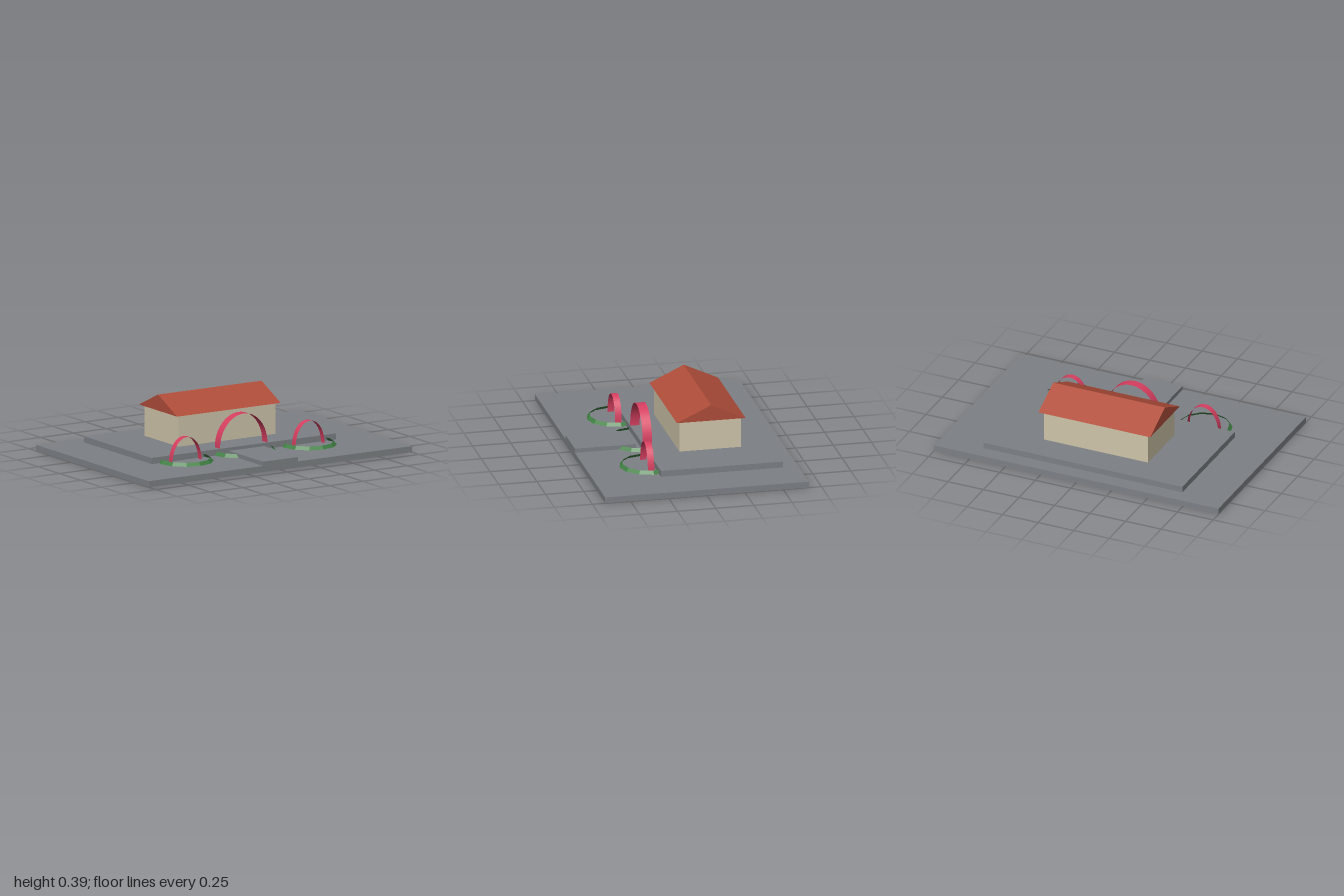
import * as THREE from 'three';

const material = (name, color, options = {}) => {
  const m = new THREE.MeshStandardMaterial({ color, ...options });
  m.name = name;
  return m;
};

export function createModel() {
  const model = new THREE.Group();
  model.name = 'houseWithGarden';

  const stone = material('stone grey', 0x7d8186);
  const plaster = material('plaster beige', 0xcfc5aa);
  const tile = material('roof red', 0xb04d3a);
  const rose = material('rose pink', 0xd63f60, { side: THREE.DoubleSide });
  const hedge = material('hedge green', 0x3f7f42, { side: THREE.DoubleSide, flatShading: true });

  const add = (name, geometry, mat) => {
    const mesh = new THREE.Mesh(geometry, mat);
    mesh.name = name;
    model.add(mesh);
    return mesh;
  };

  // Box given by its limits on each axis
  const box = (name, mat, [x0, x1], [y0, y1], [z0, z1]) =>
    add(name, new THREE.BoxGeometry(x1 - x0, y1 - y0, z1 - z0), mat)
      .position.set((x0 + x1) / 2, (y0 + y1) / 2, (z0 + z1) / 2);

  // Ground, terrace, path and house walls
  box('ground', stone, [-1, 1], [0, 0.04], [-0.667, 0.667]);
  box('terrace', stone, [-0.7, 0.7], [0.04, 0.08], [-0.567, 0.233]);
  box('path', stone, [-0.133, 0.133], [0.04, 0.068], [0.267, 0.667]);
  box('walls', plaster, [-0.367, 0.367], [0.08, 0.283], [-0.367, 0.035]);

  // Gable roof: triangle extruded along x
  const gable = new THREE.Shape([
    new THREE.Vector2(-0.225, 0),
    new THREE.Vector2(0.225, 0),
    new THREE.Vector2(0, 0.105),
  ]);
  const roofGeometry = new THREE.ExtrudeGeometry(gable, { depth: 0.787, bevelEnabled: false });
  roofGeometry.translate(0, 0, -0.3935).rotateY(Math.PI / 2);
  add('roof', roofGeometry, tile).position.set(0, 0.283, -0.167);

  // Thin arched band, open at the ends
  const arch = (name, x, y, z, halfWidth, height, depth) => {
    const g = new THREE.CylinderGeometry(1, 1, depth, 24, 1, true, Math.PI / 2, Math.PI);
    g.rotateX(Math.PI / 2).scale(halfWidth, height, 1);
    add(name, g, rose).position.set(x, y, z);
  };

  // Low sloping ring of planting around each arch
  const ring = (name, x, z, radius) => {
    const g = new THREE.CylinderGeometry(radius - 0.02, radius, 0.022, 12, 1, true);
    add(name, g, hedge).position.set(x, 0.051, z);
  };

  arch('mainArch', 0, 0.08, 0.202, 0.18, 0.21, 0.062);
  ring('mainHedge', 0, 0.2, 0.23);
  for (const [side, s] of [['left', 1], ['right', -1]]) {
    arch(`${side}Arch`, s * 0.467, 0.04, 0.269, 0.11, 0.16, 0.043);
    ring(`${side}Hedge`, s * 0.467, 0.267, 0.184);
  }

  return model;
}
